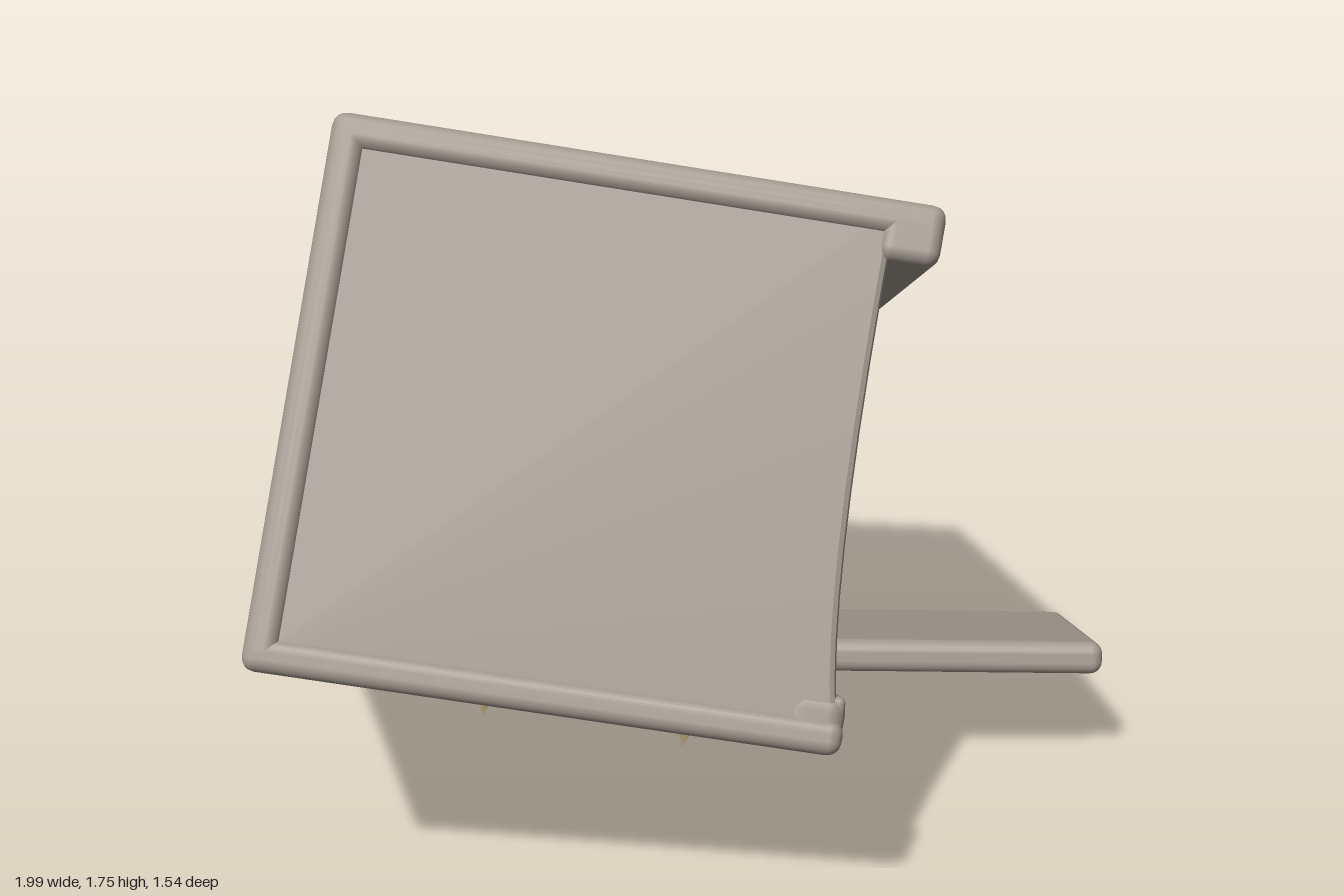
import * as THREE from 'three';
import { RoundedBoxGeometry } from 'three/addons/geometries/RoundedBoxGeometry.js';

const wood = new THREE.MeshStandardMaterial({ color: 0xa39b90 });
const lining = new THREE.MeshStandardMaterial({ color: 0xb5aa9a, side: THREE.DoubleSide });
const brass = new THREE.MeshStandardMaterial({ color: 0xb0a070 });

// Half sizes of the crate in its own frame; the open end is +x
const HX = 0.64, HY = 0.58, HZ = 0.63;

// The crate rests tipped on one corner and is slightly skewed
const tilt = new THREE.Matrix4().makeBasis(
  new THREE.Vector3(0.9876, -0.157, 0),
  new THREE.Vector3(0.165, 0.923, -0.355),
  new THREE.Vector3(0.063, 0.405, 0.913)
).setPosition(-0.23, 0.895, 0);

export function createModel() {
  const model = new THREE.Group();
  const crate = new THREE.Group();
  crate.name = 'crate';
  model.add(crate);

  const add = (name, geometry, material = wood) => {
    const mesh = new THREE.Mesh(geometry.applyMatrix4(tilt), material);
    mesh.name = name;
    crate.add(mesh);
  };
  const box = (name, x, y, z, w, h, d, r = 0.015, material = wood) =>
    add(name, new RoundedBoxGeometry(w, h, d, 2, r).translate(x, y, z), material);

  // Wall panels, set slightly inside the edge beams
  const T = 0.1, IN = 0.015;
  const off = T / 2 + IN;
  box('topPanel', 0, HY - off, 0, 2 * HX - 0.03, T, 2 * HZ - 0.04);
  box('bottomPanel', -0.01, -HY + off + 0.01, 0, 2 * HX - 0.05, T, 2 * HZ - 0.04);
  box('backPanel', 0, 0, -HZ + off, 2 * HX - 0.03, 2 * HY - 0.04, T);
  box('closedEndPanel', -HX + off, 0, 0, T, 2 * HY - 0.04, 2 * HZ - 0.04);

  // Front wall, its open edge cut back in a shallow curve
  const wall = new THREE.Shape();
  wall.moveTo(-HX + 0.03, -HY + 0.03);
  wall.lineTo(HX - 0.05, -HY + 0.03);
  wall.quadraticCurveTo(HX - 0.13, -0.3, HX - 0.12, HY - 0.03);
  wall.lineTo(-HX + 0.03, HY - 0.03);
  add('frontPanel', new THREE.ExtrudeGeometry(wall, {
    depth: T - 0.03, bevelSize: 0.015, bevelThickness: 0.015, bevelSegments: 2, curveSegments: 10,
  }).translate(0, 0, HZ - T));

  // Edge beams along the three directions
  const B = 0.075, R = 0.03;
  for (const s of [-1, 1]) {
    for (const t of [-1, 1]) {
      const cut = s < 0 && t > 0 ? 0.03 : 0;
      box('longBeam', -cut / 2, s * (HY - B / 2), t * (HZ - B / 2), 2 * HX - cut, B, B, R);
    }
    box('closedEndUpright', -HX + B / 2, 0, s * (HZ - B / 2), B, 2 * HY, B, R);
    box('closedEndRail', -HX + B / 2, s * (HY - B / 2), 0, B, B, 2 * HZ, R);
  }

  // Thick rounded rim around the opening
  const M = 0.13;
  box('topRim', HX - M / 2, HY - M / 2, 0, M, M, 2 * HZ, 0.03);
  box('bottomRim', HX - 0.03 - M / 2, -HY + M / 2, 0, M, M, 2 * HZ - 0.02, 0.04);
  box('backRim', HX - M / 2, 0, -HZ + M / 2, M, 2 * HY, M, 0.04);

  // Lumpy hollow inside the opening, deepest near the front wall
  const hollow = new THREE.PlaneGeometry(2 * HZ - 0.16, 2 * HY - 0.16, 44, 44).rotateY(Math.PI / 2);
  const p = hollow.attributes.position;
  for (let i = 0; i < p.count; i++) {
    const y = p.getY(i), z = p.getZ(i);
    const s = y / (HY - 0.08), t = z / (HZ - 0.08);
    const bowl = (1 - Math.abs(s) ** 6) * (1 - Math.abs(t) ** 6);
    const lumps = 0.03 * Math.sin(13 * y + 3 * z) * Math.cos(9 * z - 2 * y)
      + 0.012 * Math.sin(29 * y) * Math.sin(25 * z);
    const mound = 0.1 * Math.exp(-((y - 0.1) ** 2 + (z - 0.05) ** 2) / 0.06);
    p.setX(i, 0.5 - bowl * (0.34 + 0.14 * t - lumps - mound));
  }
  hollow.computeVertexNormals();
  add('hollow', hollow, lining);

  // Dividing strips across the underside
  for (const x of [-0.4, 0.08, 0.53])
    box('bottomStrip', x, -HY + 0.03, 0, 0.035, 0.06, 2 * HZ - 0.1, 0.01);

  // Two small brass pulls, each a diamond plate with a pair of pegs
  for (const [x, z0] of [[-0.15, 0], [0.31, 0.06]]) {
    add('pullPlate', new THREE.CylinderGeometry(0.05, 0.065, 0.03, 4)
      .scale(1, 1, 3).translate(x, -HY + 0.015, z0), brass);
    for (const s of [-1, 1])
      add('pullPeg', new THREE.ConeGeometry(0.035, 0.09, 6).rotateX(Math.PI)
        .translate(x, -HY - 0.02, z0 + s * 0.12), brass);
  }

  // Flat board sticking out of the opening
  const board = new THREE.Group();
  board.name = 'board';
  const plank = new THREE.Mesh(new RoundedBoxGeometry(0.74, 0.08, 0.46, 3, 0.03), wood);
  plank.name = 'boardPlank';
  const inset = new THREE.Mesh(new RoundedBoxGeometry(0.5, 0.02, 0.3, 2, 0.008), wood);
  inset.name = 'boardUndersidePad';
  inset.position.y = -0.036;
  board.add(plank, inset);
  board.position.set(0.62, 0.305, -0.2);
  board.rotation.set(-0.27, 0.07, -0.02);
  model.add(board);

  return model;
}
